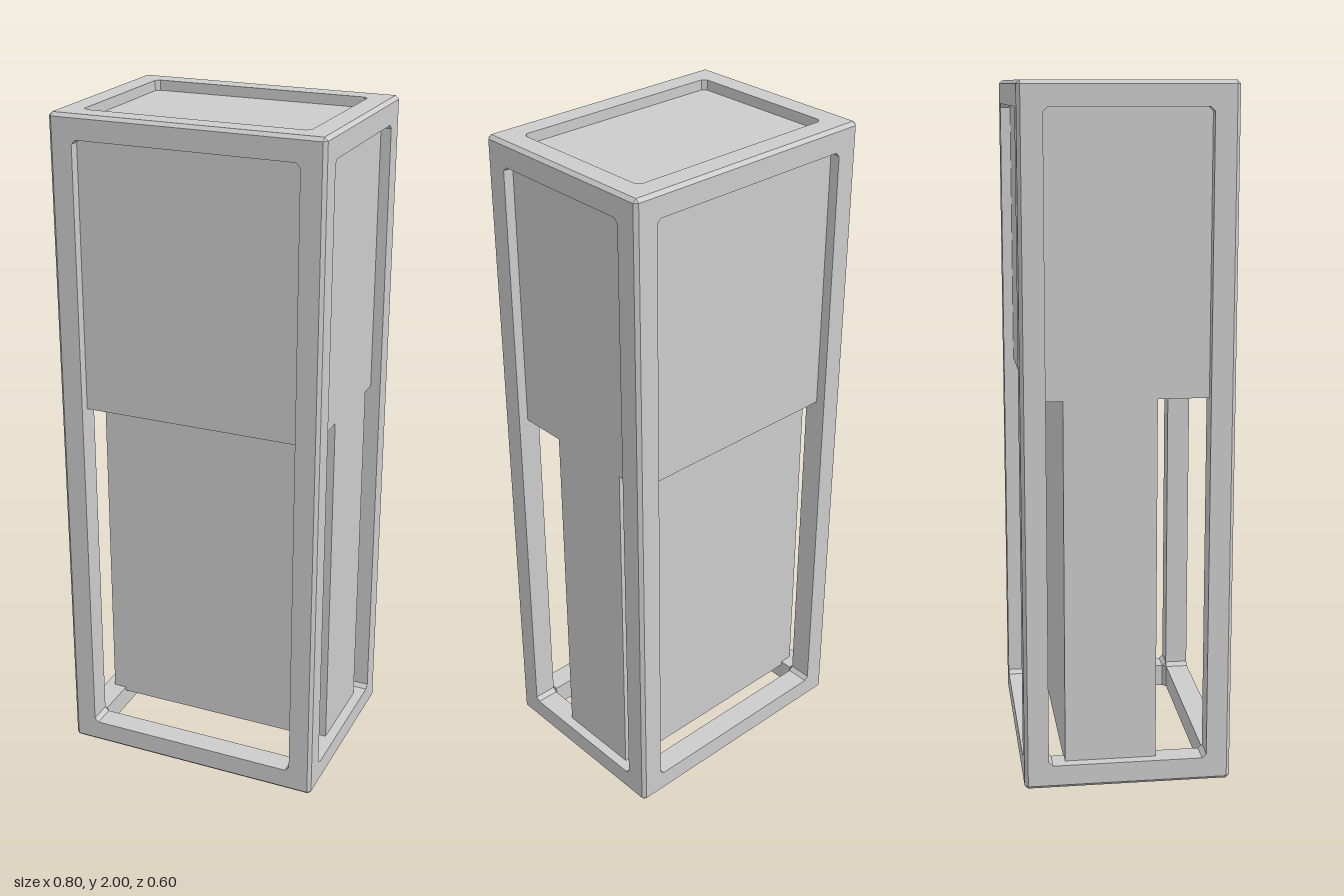
import * as THREE from 'three';

const W = 0.8, H = 2, D = 0.6;      // outer size
const BAR = 0.07, BEVEL = 0.01, FILLET = 0.012;

// Adds a rectangle with cut corners to a shape or path
function cutRect(path, hw, hh, c) {
  path.moveTo(hw - c, -hh);
  path.lineTo(hw, -hh + c);
  path.lineTo(hw, hh - c);
  path.lineTo(hw - c, hh);
  path.lineTo(-hw + c, hh);
  path.lineTo(-hw, hh - c);
  path.lineTo(-hw, -hh + c);
  path.lineTo(-hw + c, -hh);
  path.closePath();
  return path;
}

// One rectangular frame face, bevelled only on its outer rim
function frameGeometry(w, h) {
  const hw = w / 2, hh = h / 2;
  const shape = cutRect(new THREE.Shape(), hw, hh, BEVEL);
  shape.holes.push(cutRect(new THREE.Path(), hw - BAR, hh - BAR, FILLET));
  const geo = new THREE.ExtrudeGeometry(shape, { depth: BAR, steps: 2, bevelEnabled: false });
  const p = geo.attributes.position;
  for (let i = 0; i < p.count; i++) {
    const z = p.getZ(i);
    if (z > BAR * 0.9) {
      // pull the outermost layer in to form the bevel
      p.setX(i, THREE.MathUtils.clamp(p.getX(i), -hw + BEVEL, hw - BEVEL));
      p.setY(i, THREE.MathUtils.clamp(p.getY(i), -hh + BEVEL, hh - BEVEL));
    } else if (z > BAR * 0.1) {
      p.setZ(i, BAR - BEVEL);
    }
  }
  geo.computeVertexNormals();
  return geo;
}

export function createModel() {
  const model = new THREE.Group();
  const material = new THREE.MeshStandardMaterial({ color: 0xcccccc, flatShading: true });

  // Open cage: six frame faces sharing their corner bars
  const cage = new THREE.Group();
  cage.name = 'cage';
  cage.position.y = H / 2;
  const faces = [
    ['frontFrame', W, H, D / 2, 0, 0],
    ['backFrame', W, H, D / 2, 0, Math.PI],
    ['leftFrame', D, H, W / 2, 0, Math.PI / 2],
    ['rightFrame', D, H, W / 2, 0, -Math.PI / 2],
    ['topFrame', W, D, H / 2, -Math.PI / 2, 0],
    ['bottomFrame', W, D, H / 2, Math.PI / 2, 0],
  ];
  for (const [name, w, h, out, rx, ry] of faces) {
    const mesh = new THREE.Mesh(frameGeometry(w, h), material);
    mesh.name = name;
    mesh.rotation.set(rx, ry, 0);
    mesh.translateZ(out - BAR);
    cage.add(mesh);
  }
  model.add(cage);

  // Solid blocks held inside the cage
  const block = (name, w, y0, y1, z0, z1) => {
    const mesh = new THREE.Mesh(new THREE.BoxGeometry(w, y1 - y0, z1 - z0), material);
    mesh.name = name;
    mesh.position.set(0, (y0 + y1) / 2, (z0 + z1) / 2);
    model.add(mesh);
  };
  block('upperCabinet', 0.74, 1.135, 1.97, -0.27, 0.27);
  block('lowerColumn', 0.74, 0.057, 1.135, -0.18, 0.085);

  return model;
}
